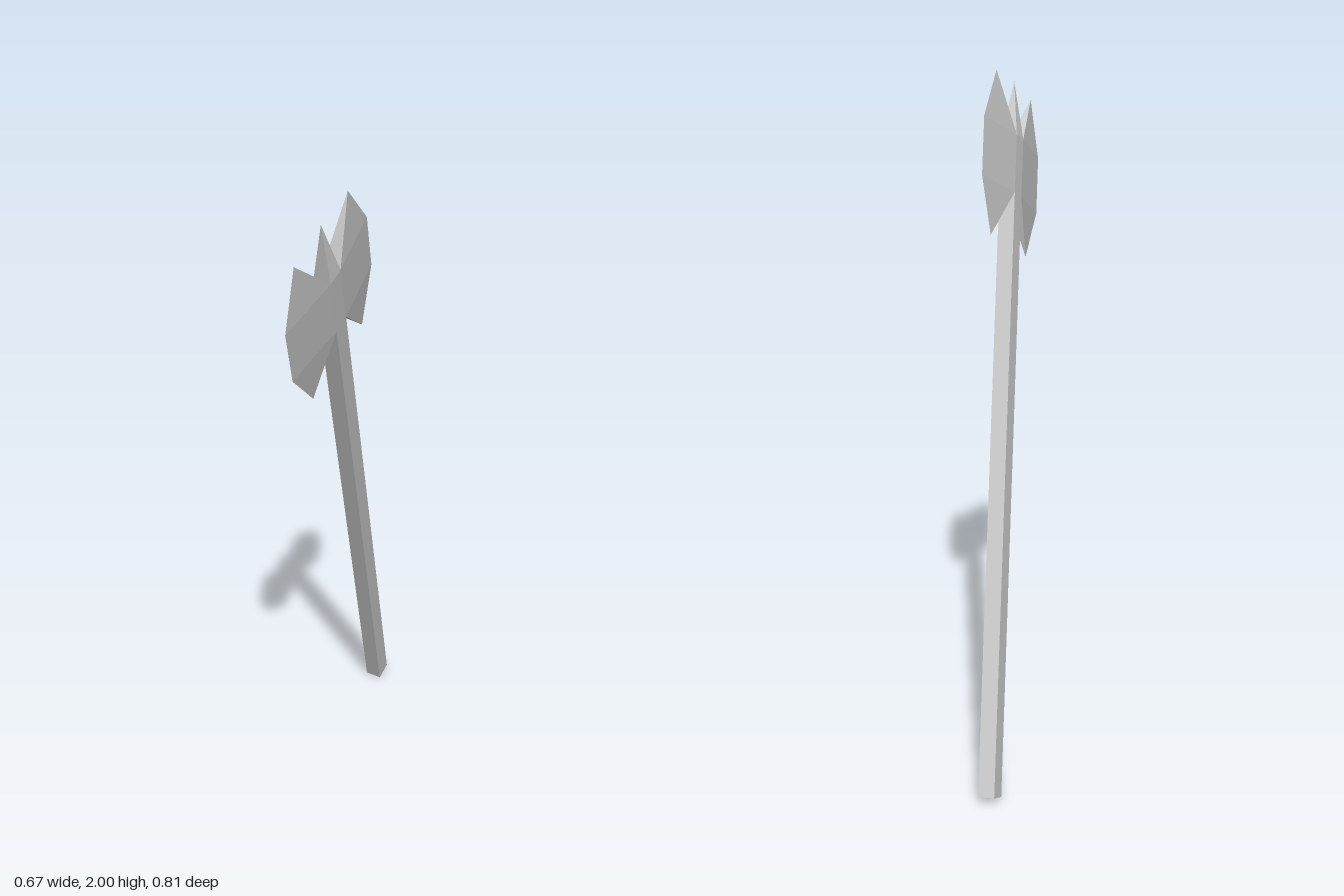
import * as THREE from 'three';
import { ConvexGeometry } from 'three/addons/geometries/ConvexGeometry.js';

const HALF_W = 0.028;      // shaft half width, along the blades
const HALF_T = 0.025;      // shaft half thickness
const SHAFT_TOP = 1.95;
const BLADE_FOOT = 1.773;  // where the blades leave the shaft
const SPIKE_TOP = 2.125;

// Cutting edge of a blade, top tip to bottom tip: [distance from axis, height]
const EDGE = [[0.147, 2.113], [0.23, 1.949], [0.23, 1.773], [0.147, 1.615]];

export function createModel() {
  const group = new THREE.Group();
  group.name = 'doubleAxe';
  const material = new THREE.MeshStandardMaterial({ color: 0xcccccc, flatShading: true });

  const add = (name, geometry) => {
    const mesh = new THREE.Mesh(geometry, material);
    mesh.name = name;
    axe.add(mesh);
    return mesh;
  };
  const hull = (points) => new ConvexGeometry(points.map((p) => new THREE.Vector3(...p)));

  // The axe is built upright, then leaned over
  const axe = new THREE.Group();
  axe.name = 'axe';
  group.add(axe);

  // Square shaft
  add('shaft', new THREE.BoxGeometry(2 * HALF_W, SHAFT_TOP, 2 * HALF_T)).position.y = SHAFT_TOP / 2;

  // Pointed spike on the shaft's end
  const spike = [[0, SPIKE_TOP, 0]];
  for (const sx of [-1, 1]) for (const sz of [-1, 1]) spike.push([sx * HALF_W, SHAFT_TOP, sz * HALF_T]);
  add('topSpike', hull(spike));

  // Two mirrored blades, thick at the shaft and thinning to a sharp edge
  for (const side of [-1, 1]) {
    const points = EDGE.map(([u, v]) => [side * u, v, 0]);
    for (const v of [BLADE_FOOT, SHAFT_TOP])
      for (const sz of [-1, 1]) points.push([side * HALF_W, v, sz * HALF_T]);
    add(side > 0 ? 'frontBlade' : 'backBlade', hull(points));
  }

  // Lean: shaft direction, blade direction and blade normal
  const up = new THREE.Vector3(0.303, 1, 0.328).normalize();
  const across = new THREE.Vector3(0.39, -0.385, 0.836);
  across.addScaledVector(up, -across.dot(up)).normalize();
  const normal = new THREE.Vector3().crossVectors(across, up);
  axe.quaternion.setFromRotationMatrix(new THREE.Matrix4().makeBasis(across, up, normal));
  axe.position.set(-0.305, 0.0125, -0.37);

  return group;
}
